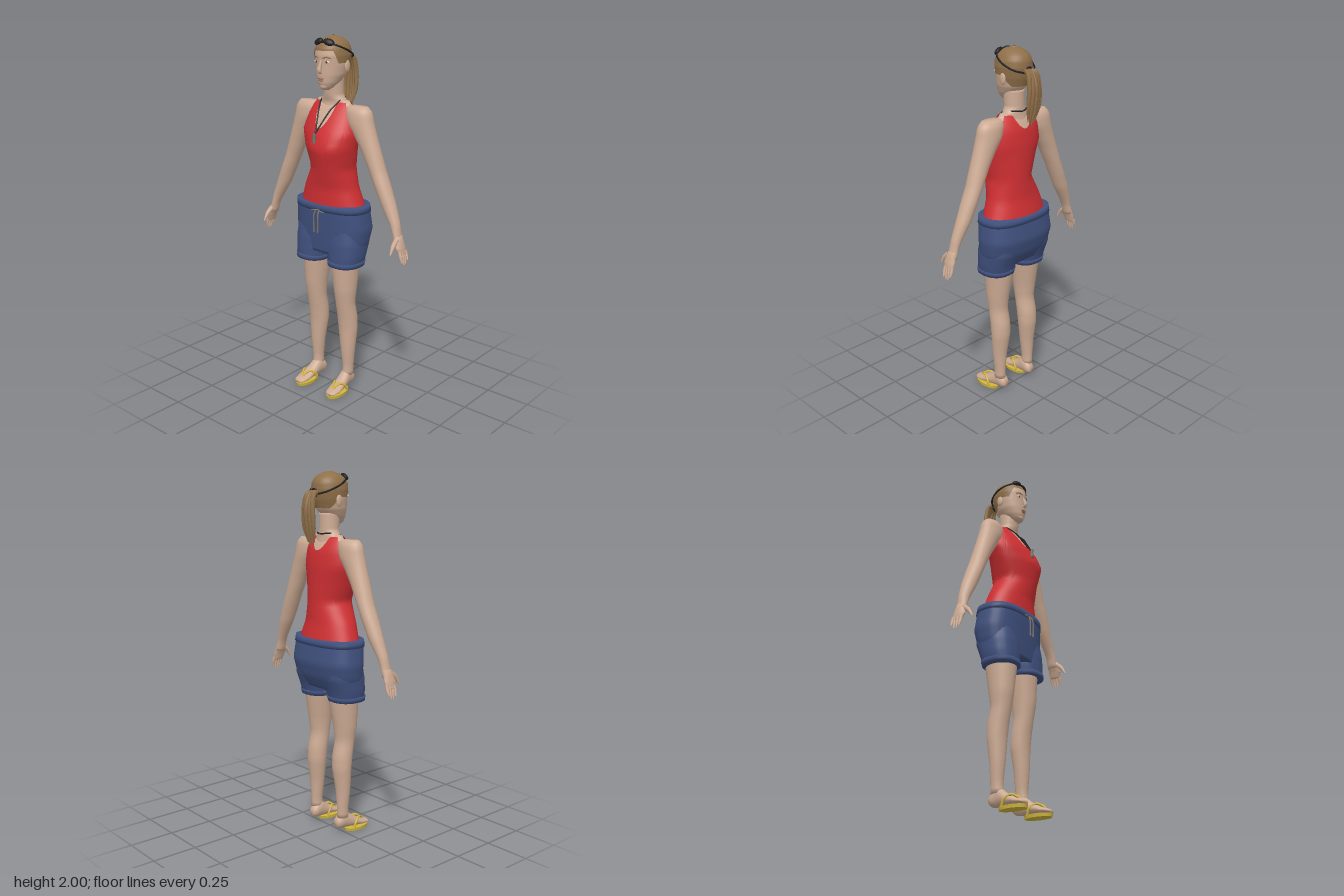
import * as THREE from 'three';

const mat = (name, color, side = THREE.FrontSide) => {
  const m = new THREE.MeshStandardMaterial({ color, side });
  m.name = name;
  return m;
};

// Ring: [y, centreX, radiusX, frontZ, backZ, skew]; rings run upward.
function ringAt(rings, y) {
  let i = 0;
  while (i < rings.length - 2 && y > rings[i + 1][0]) i++;
  const a = rings[i], b = rings[i + 1];
  const t = THREE.MathUtils.clamp((y - a[0]) / (b[0] - a[0]), 0, 1);
  return [0, 1, 2, 3, 4, 5].map(k => THREE.MathUtils.lerp(a[k] ?? 0, b[k] ?? 0, t));
}

// Lofted skin between lower and upper edges, which may vary with the angle.
function loft(rings, { lo, hi, grow = 0, n = 24, rows = 16, cap = true, power = 1, s = 1 } = {}) {
  const low = typeof lo === 'function' ? lo : () => lo ?? rings[0][0];
  const high = typeof hi === 'function' ? hi : () => hi ?? rings[rings.length - 1][0];
  const pos = [], idx = [], bend = v => Math.sign(v) * Math.abs(v) ** power;
  for (let j = 0; j <= rows; j++) {
    for (let i = 0; i < n; i++) {
      const a = (i / n) * Math.PI * 2, c = Math.cos(a), d = Math.sin(a);
      const y = THREE.MathUtils.lerp(low(c, d), high(c, d), j / rows);
      const [, cx, rx, zf, zb, skew] = ringAt(rings, y);
      const x = (rx + grow) * bend(c);
      const z = (zf + zb) / 2 + ((zf - zb) / 2 + grow) * bend(d) + skew * x * Math.max(0, d);
      pos.push(s * cx + x, y, z);
    }
  }
  for (let j = 0; j < rows; j++) {
    for (let i = 0; i < n; i++) {
      const a = j * n + i, b = j * n + (i + 1) % n;
      idx.push(a, a + n, b, b, a + n, b + n);
    }
  }
  if (cap) {
    for (const j of [0, rows]) {
      const [y, cx, , zf, zb] = ringAt(rings, j ? high(1, 0) : low(1, 0));
      const centre = pos.length / 3;
      pos.push(s * cx, y, (zf + zb) / 2);
      for (let i = 0; i < n; i++) {
        const a = j * n + i, b = j * n + (i + 1) % n;
        j ? idx.push(a, centre, b) : idx.push(a, b, centre);
      }
    }
  }
  const g = new THREE.BufferGeometry();
  g.setAttribute('position', new THREE.Float32BufferAttribute(pos, 3));
  g.setIndex(idx);
  g.computeVertexNormals();
  return g;
}

// Tube whose radius follows a short list along its length.
function taper(points, radii, closed = false, segs = 16, sides = 8) {
  const curve = new THREE.CatmullRomCurve3(points.map(p => new THREE.Vector3(...p)), closed);
  const g = new THREE.TubeGeometry(curve, segs, 1, sides, closed);
  const p = g.attributes.position, v = new THREE.Vector3();
  for (let i = 0; i < p.count; i++) {
    const t = Math.floor(i / (sides + 1)) / segs, c = curve.getPointAt(Math.min(t, 1));
    const f = t * (radii.length - 1), k = Math.min(Math.floor(f), radii.length - 2);
    const r = radii.length > 1 ? THREE.MathUtils.lerp(radii[k], radii[k + 1], f - k) : radii[0];
    v.fromBufferAttribute(p, i).sub(c).multiplyScalar(r).add(c);
    p.setXYZ(i, v.x, v.y, v.z);
  }
  return g;
}

const blob = (x, y, z, rx, ry, rz) => new THREE.SphereGeometry(1, 16, 10).scale(rx, ry, rz).translate(x, y, z);

const TORSO = [
  [1.10, 0, .2, .115, -.125], [1.2, 0, .162, .115, -.105], [1.31, .02, .122, .135, -.1, .1],
  [1.42, .008, .152, .156, -.1, .22], [1.5, 0, .172, .13, -.1, .1], [1.58, 0, .152, .085, -.092],
  [1.63, 0, .135, .052, -.07], [1.665, 0, .11, .02, -.04]];
const NECK = [[1.6, 0, .07, .05, -.07], [1.655, 0, .085, .035, -.06], [1.69, 0, .056, .045, -.06], [1.78, 0, .055, .055, -.06]];
const HEAD = [
  [1.722, 0, .018, .075, .03], [1.735, 0, .036, .085, .005], [1.76, 0, .056, .094, -.04], [1.8, 0, .075, .096, -.075],
  [1.85, 0, .085, .096, -.092], [1.9, 0, .089, .1, -.101], [1.935, 0, .083, .094, -.098], [1.96, 0, .07, .078, -.085],
  [1.98, 0, .049, .052, -.06], [1.992, 0, .024, .022, -.032], [1.997, 0, .004, -.002, -.008]];
const ARM = [
  [.96, .452, .02, .03, -.03], [1.02, .435, .022, .028, -.03], [1.06, .42, .03, .026, -.035], [1.15, .375, .042, .03, -.05],
  [1.25, .33, .045, .035, -.058], [1.32, .298, .046, .035, -.06], [1.42, .255, .055, .04, -.06], [1.5, .215, .068, .045, -.062],
  [1.56, .182, .083, .05, -.065], [1.62, .17, .082, .045, -.06], [1.645, .165, .062, .028, -.04]];
const HAND = [[.905, .476, .012, .03, -.03], [.94, .467, .016, .042, -.034], [.98, .452, .021, .034, -.03], [1, .445, .02, .026, -.028]];
const LEG = [
  [.09, .112, .03, .035, -.037], [.14, .113, .03, .03, -.037], [.25, .112, .042, .04, -.042], [.38, .108, .056, .046, -.06],
  [.45, .107, .057, .055, -.058], [.54, .106, .054, .072, -.04], [.62, .107, .062, .086, -.05], [.78, .1, .077, .1, -.078], [.86, .1, .08, .1, -.08]];
const HIPS = [[.835, 0, .195, .105, -.09], [.9, 0, .222, .11, -.125], [.98, 0, .234, .115, -.145], [1.06, 0, .225, .12, -.135], [1.112, 0, .219, .12, -.128]];
const SHORT_LEG = [[.77, .114, .09, .115, -.072], [.83, .113, .102, .115, -.088], [.9, .112, .107, .112, -.115], [.98, .11, .1, .1, -.12]];
// Foot rings run from heel to toe; depth columns are minus sole height and minus top height.
const FOOT = [
  [-.047, .106, .02, -.04, -.08], [-.03, .106, .03, -.026, -.1], [.01, .108, .032, -.022, -.13], [.06, .113, .036, -.02, -.088],
  [.12, .117, .041, -.018, -.055], [.16, .119, .033, -.018, -.043], [.173, .119, .02, -.02, -.036]];

export function createModel() {
  const model = new THREE.Group();
  model.name = 'lifeguard';
  const skin = mat('skin', 0xcdab94), red = mat('red cloth', 0xcf2f32, THREE.DoubleSide);
  const blue = mat('blue cloth', 0x40517f, THREE.DoubleSide), hair = mat('hair', 0x8f6f48, THREE.DoubleSide);
  const black = mat('black rubber', 0x202024), yellow = mat('yellow sandal', 0xd0b53c);
  const grey = mat('grey cord', 0x77706a), lip = mat('lip', 0xa87562), white = mat('eye white', 0xe2dad2);
  const brown = mat('brown', 0x5a4230);
  const add = (name, geometry, material) => {
    const m = new THREE.Mesh(geometry, material);
    m.name = name;
    model.add(m);
    return m;
  };

  // Torso, neck and tank top with scooped neck and armholes
  add('chest', loft(TORSO, { lo: 1.4, grow: -.006, n: 40 }), skin);
  add('neck', loft(NECK), skin);
  const tankTop = (c, d) => {
    const u = Math.abs(c), dip = d > 0 ? 1.525 : 1.585;
    if (u < .45) return THREE.MathUtils.lerp(dip, 1.657, (u / .45) ** 2);
    return u < .85 ? 1.657 : 1.657 - .15 * Math.sqrt((u - .85) / .15);
  };
  add('tankTop', loft(TORSO, { hi: tankTop, grow: .003, n: 96, rows: 24, cap: false }), red);

  // Head and face
  add('head', loft(HEAD, { rows: 40, n: 32 }), skin);
  add('nose', taper([[0, 1.88, .092], [0, 1.845, .103], [0, 1.822, .108], [0, 1.812, .094]], [.006, .009, .013, .008]), skin);
  add('upperLip', blob(0, 1.783, .096, .021, .005, .007), lip);
  add('lowerLip', blob(0, 1.773, .095, .017, .005, .006), lip);
  add('chin', blob(0, 1.742, .074, .024, .018, .016), skin);
  for (const s of [-1, 1]) {
    add('eye', blob(s * .036, 1.868, .0875, .016, .007, .004), white);
    add('iris', blob(s * .035, 1.868, .0905, .006, .006, .003), brown);
    add('eyebrow', taper([[s * .015, 1.888, .098], [s * .036, 1.893, .091], [s * .056, 1.886, .078]], [.003, .004, .002]), hair);
    add('ear', blob(s * .088, 1.845, -.012, .009, .032, .019), skin);
  }

  // Hair cap, sideburns and ponytail
  const hairline = (c, d) => d > .45
    ? THREE.MathUtils.lerp(1.855, 1.925, Math.min(1, (d - .45) / .25))
    : d > -.15 ? 1.862 : THREE.MathUtils.lerp(1.855, 1.805, Math.min(1, (-d - .15) / .5));
  add('hair', loft(HEAD, { lo: hairline, grow: .005, n: 64, rows: 24, cap: false }), hair);
  for (let i = -2; i <= 2; i++) {
    const x = i * .013, back = Math.abs(i) * .006;
    add('ponytailStrand', taper([[x * .5, 1.885, -.095], [x, 1.882, -.13], [x * 1.3, 1.82, -.16 + back], [x * 1.5, 1.72, -.158 + back],
      [x, 1.605 + Math.abs(i) * .012, -.13]], [.014, .014, .013, .011, .002]), hair);
  }
  add('hairTie', new THREE.TorusGeometry(.02, .006, 8, 16).translate(0, 1.884, -.11), black);

  // Swimming goggles pushed up on the head
  add('goggleStrap', taper([[0, 1.967, .083], [.058, 1.958, .062], [.094, 1.925, -.01], [.07, 1.892, -.082], [0, 1.877, -.11],
    [-.07, 1.892, -.082], [-.094, 1.925, -.01], [-.058, 1.958, .062]], [.005], true, 48, 6), black);
  for (const s of [-1, 1]) {
    const lens = add('goggleLens', blob(0, 0, 0, .032, .02, .014), black);
    lens.position.set(s * .034, 1.968, .072);
    lens.rotation.set(-.8, s * .35, 0);
  }

  // Arms, hands and fingers
  for (const s of [-1, 1]) {
    add('arm', loft(ARM, { s, rows: 36 }), skin);
    add('palm', loft(HAND, { s, n: 16 }), skin);
    for (let i = 0; i < 4; i++) {
      const z = .023 - i * .016, tip = [.864, .852, .855, .872][i];
      add('finger', taper([[s * .474, .925, z], [s * .484, .893, z * 1.1], [s * .492, tip, z]], [.01, .009, .004], false, 8), skin);
    }
    add('thumb', taper([[s * .452, .985, .02], [s * .455, .955, .055], [s * .457, .915, .08]], [.015, .012, .004], false, 8), skin);
  }

  // Shorts with waistband, cuffs and drawstring
  add('shorts', loft(HIPS, { n: 40, power: .8 }), blue);
  add('waistband', loft(HIPS, { lo: 1.075, hi: 1.112, grow: .005, n: 40, rows: 2, power: .8 }), blue);
  for (const s of [-1, 1]) {
    add('shortsLeg', loft(SHORT_LEG, { s, power: .85 }), blue);
    add('shortsCuff', loft(SHORT_LEG, { s, hi: .797, grow: .005, rows: 2, power: .85 }), blue);
    add('drawstring', taper([[s * .008, 1.085, .125], [s * .014, 1.06, .14], [s * .013, .96, .142]], [.004, .004, .005]), grey);
    add('drawstringBow', taper([[0, 1.083, .128], [s * .025, 1.08, .135], [s * .045, 1.074, .128]], [.004, .003]), grey);
  }

  // Legs, feet and sandals
  for (const s of [-1, 1]) {
    add('leg', loft(LEG, { s, rows: 32 }), skin);
    add('foot', loft(FOOT, { s, rows: 20 }).rotateX(Math.PI / 2), skin);
    add('sandalSole', new THREE.CylinderGeometry(1, .95, .018, 24).scale(.044, 1, .083).translate(s * .116, .009, .096), yellow);
    for (const e of [-1, 1]) {
      add('sandalStrap', taper([[s * .117, .048, .142], [s * .117 + e * .02, .071, .1], [s * .115 + e * .036, .05, .065],
        [s * .115 + e * .036, .012, .05]], [.005, .007, .006]), yellow);
    }
  }

  // Whistle on a cord
  for (const s of [-1, 1]) {
    add('whistleCord', taper([[0, 1.5, .143], [s * .022, 1.57, .1], [s * .042, 1.625, .062], [s * .062, 1.668, .01], [s * .045, 1.675, -.05],
      [0, 1.67, -.068]], [.004], false, 24, 6), black);
  }
  add('whistle', new THREE.CylinderGeometry(.008, .01, .05, 12).translate(0, 1.478, .15), grey);
  return model;
}
